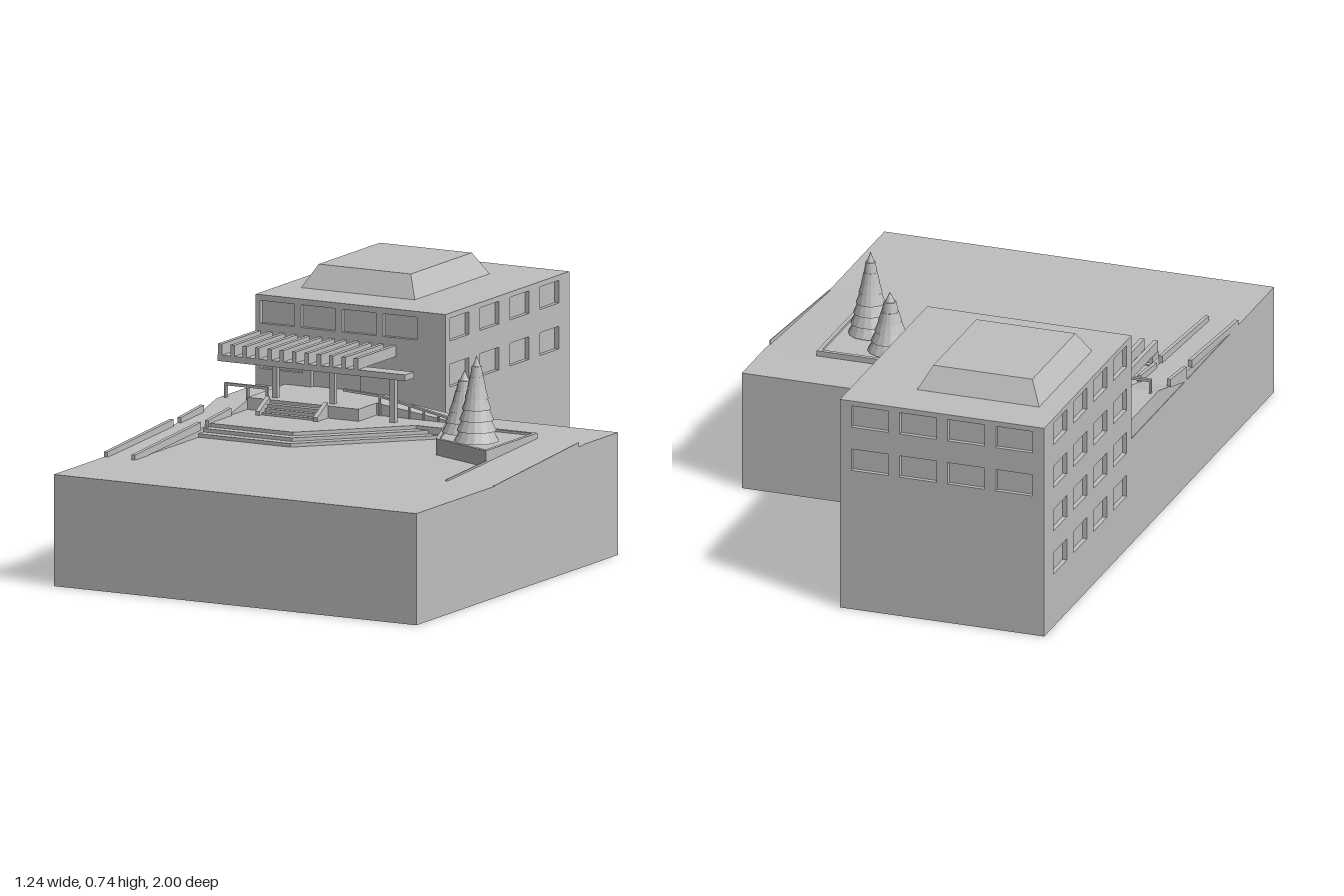
import * as THREE from 'three';

const concrete = new THREE.MeshStandardMaterial({ color: 0xbfbfbf });
concrete.name = 'light grey';

export function createModel() {
  const model = new THREE.Group();
  model.name = 'buildingWithForecourt';

  const add = (name, geo, parent = model) => {
    const m = new THREE.Mesh(geo, concrete);
    m.name = name;
    parent.add(m);
    return m;
  };
  const group = (name) => {
    const g = new THREE.Group();
    g.name = name;
    model.add(g);
    return g;
  };
  // Box from min and max corners
  const box = (name, x0, x1, y0, y1, z0, z1, parent) => {
    const g = new THREE.BoxGeometry(x1 - x0, y1 - y0, z1 - z0);
    g.translate((x0 + x1) / 2, (y0 + y1) / 2, (z0 + z1) / 2);
    return add(name, g, parent);
  };
  const shapeOf = (pts) => new THREE.Shape(pts.map(([a, b]) => new THREE.Vector2(a, b)));
  const extrude = (shape, depth) => new THREE.ExtrudeGeometry(shape, { depth, bevelEnabled: false });
  // Plan outline of [x, z] raised between two heights
  const slab = (name, pts, y0, y1, parent, hole) => {
    const s = shapeOf(pts);
    if (hole) s.holes.push(new THREE.Path(hole.map(([a, b]) => new THREE.Vector2(a, b))));
    const g = extrude(s, y1 - y0);
    g.rotateX(Math.PI / 2).translate(0, y1, 0);
    return add(name, g, parent);
  };
  // Side outline of [z, y] spanning x0 to x1
  const sideways = (name, pts, x0, x1, parent) => {
    const g = extrude(shapeOf(pts), x1 - x0);
    g.rotateY(-Math.PI / 2).translate(x1, 0, 0);
    return add(name, g, parent);
  };

  // Ground block
  box('ground', -0.62, 0.62, 0, 0.34, -0.24, 1);

  // Terrace with angled steps, each lower layer reaching further out
  const terrace = group('terrace');
  for (let i = 0; i < 3; i++) {
    const o = i * 0.03, top = 0.373 - i * 0.011;
    slab('terraceStep', [
      [-0.52, -0.24], [-0.52, 0.23 + o], [-0.23 + o * 0.41, 0.23 + o],
      [0.04 + o * 1.41, -0.04], [0.14, -0.04], [0.14, -0.24],
    ], 0.335, top, terrace);
  }
  box('rearTerrace', 0.14, 0.62, 0.335, 0.373, -0.24, -0.04, terrace);

  // Driveway ramp on the right with thin kerbs
  const drive = group('driveway');
  sideways('drivewayRamp', [[0.52, 0.339], [-0.04, 0.373], [-0.04, 0.335], [0.52, 0.335]], 0.455, 0.62, drive);
  sideways('drivewayKerb', [[0.52, 0.335], [0.52, 0.342], [0, 0.384], [0, 0.335]], 0.617, 0.62, drive);
  sideways('drivewayKerb', [[0.52, 0.335], [0.52, 0.345], [0.27, 0.36], [0.27, 0.335]], 0.453, 0.457, drive);

  // Long ramp on the left with low side rails
  const ramp = group('sideRamp');
  sideways('rampSurface', [[0.7, 0.339], [0.1, 0.375], [0, 0.4], [-0.24, 0.4], [-0.24, 0.335], [0.7, 0.335]],
    -0.618, -0.52, ramp);
  const rampY = (z) => 0.339 + (0.7 - z) * 0.06;
  for (const x of [-0.62, -0.526]) {
    for (const [za, zb] of [[0.69, 0.285], [0.24, 0.1]]) {
      sideways('rampRail', [
        [za, rampY(za) + 0.016], [zb, rampY(zb) + 0.022], [zb, rampY(zb) - 0.003], [za, 0.336],
      ], x, x + 0.012, ramp);
    }
  }

  // Building: inner core with facade panels that leave recessed windows
  const building = group('building');
  const d = 0.014;
  box('core', -0.62 + d, 0.03 - d, 0, 0.675, -1 + d, -0.24 - d, building);
  const facade = (name, u0, u1, openings) => {
    const s = shapeOf([[u0, 0], [u1, 0], [u1, 0.675], [u0, 0.675]]);
    for (const [a, b, v0, v1] of openings) {
      s.holes.push(new THREE.Path([[a, v0], [a, v1], [b, v1], [b, v0]].map(([p, q]) => new THREE.Vector2(p, q))));
    }
    const g = extrude(s, d);
    return add(name, g, building);
  };
  const grid = (start, pitch, rows) => {
    const out = [];
    for (const y of rows) {
      for (let i = 0; i < 4; i++) out.push([start + i * pitch, start + i * pitch + 0.117, y, y + 0.069]);
    }
    return out;
  };
  const frontHoles = grid(-0.605, 0.14, [0.588]);
  frontHoles.push([-0.605, -0.46, 0.45, 0.505], [-0.43, -0.262, 0.41, 0.498]);
  facade('frontWall', -0.62 + d, 0.03 - d, frontHoles).position.z = -0.24 - d;
  facade('backWall', -0.62 + d, 0.03 - d, grid(-0.583, 0.153, [0.59, 0.45])).position.z = -1;
  const right = facade('rightWall', -1, -0.24, grid(-0.935, 0.1835, [0.59, 0.45]));
  right.geometry.rotateY(-Math.PI / 2).translate(0.03, 0, 0);
  const left = facade('leftWall', -1, -0.24, grid(-0.92, 0.1835 - 0.01, [0.59, 0.45, 0.31, 0.17]));
  left.geometry.rotateY(-Math.PI / 2).translate(-0.62 + d, 0, 0);

  // Hipped roof block with a flat top
  const roof = new THREE.BoxGeometry(1, 0.07, 1);
  const rp = roof.attributes.position;
  for (let i = 0; i < rp.count; i++) {
    const up = rp.getY(i) > 0;
    rp.setX(i, -0.355 + rp.getX(i) * (up ? 0.315 : 0.39));
    rp.setZ(i, -0.622 + rp.getZ(i) * (up ? 0.375 : 0.46));
    rp.setY(i, up ? 0.743 : 0.674);
  }
  const flatRoof = roof.toNonIndexed();
  flatRoof.computeVertexNormals();
  add('roofBlock', flatRoof, building);

  // Porch deck, entrance steps and railings
  const porch = group('porch');
  box('deck', -0.52, -0.14, 0.37, 0.41, -0.24, -0.01, porch);
  for (let i = 0; i < 3; i++) {
    box('entranceStep', -0.44, -0.26, 0.37, 0.4 - i * 0.01, -0.01, 0.01 + i * 0.017, porch);
  }
  for (const x of [-0.457, -0.26]) {
    sideways('stepSide', [[-0.01, 0.37], [0.055, 0.37], [0.055, 0.385], [-0.01, 0.42]], x, x + 0.015, porch);
  }
  box('frontRail', -0.605, -0.457, 0.437, 0.445, -0.03, -0.02, porch);
  for (const x of [-0.605, -0.53, -0.464]) box('railPost', x, x + 0.007, 0.4, 0.437, -0.03, -0.02, porch);

  // Canopy beam, posts and slats
  const canopy = group('canopy');
  box('frontBeam', -0.62, 0.022, 0.512, 0.531, -0.06, -0.005, canopy);
  for (const x of [-0.455, -0.258, -0.052]) box('canopyPost', x, x + 0.017, 0.37, 0.512, -0.06, -0.043, canopy);
  for (let i = 0; i < 12; i++) {
    const x = -0.618 + i * 0.0422;
    box('slat', x, x + 0.014, 0.531, 0.565, -0.24, -0.005, canopy);
  }

  // Access ramp falling to the right of the porch, with handrails
  const access = group('accessRamp');
  const profile = (name, pts, z0, z1) => {
    const g = extrude(shapeOf(pts), z1 - z0);
    add(name, g.translate(0, 0, z0), access);
  };
  profile('accessSurface', [[-0.14, 0.37], [0.14, 0.37], [0.14, 0.375], [-0.14, 0.41]], -0.2, -0.12);
  profile('handrail', [[-0.25, 0.436], [-0.13, 0.43], [0.14, 0.38], [0.14, 0.386], [-0.13, 0.437], [-0.25, 0.443]],
    -0.125, -0.113);
  for (let i = 0; i < 5; i++) {
    const x = -0.13 + i * 0.05;
    box('handrailPost', x, x + 0.005, 0.37, 0.43 - i * 0.0093, -0.122, -0.116, access);
  }

  // Planter with a low rim
  const planter = group('planter');
  const outer = [[0.14, -0.04], [0.455, -0.04], [0.455, 0.275], [0.232, 0.182]];
  const inner = [[0.16, -0.027], [0.443, -0.027], [0.443, 0.257], [0.24, 0.173]];
  slab('planterRim', outer, 0.335, 0.39, planter, inner);
  slab('planterSoil', inner, 0.335, 0.383, planter);

  // Conifers with stacked skirts of branches
  const tree = (x, z, top, tiers) => {
    const base = 0.39, h = top - base, pts = [new THREE.Vector2(0, base)];
    for (let i = 0; i < tiers; i++) {
      const t = i / tiers, r = 0.064 * (1 - t) + 0.004;
      pts.push(new THREE.Vector2(r, base + h * t));
      pts.push(new THREE.Vector2(i === tiers - 1 ? 0 : r * 0.74, base + (h * (i + 1)) / tiers));
    }
    const g = new THREE.LatheGeometry(pts, 16).toNonIndexed();
    g.computeVertexNormals();
    const t = group('conifer');
    add('branches', g, t);
    add('trunk', new THREE.CylinderGeometry(0.012, 0.012, 0.02, 8).translate(0, 0.386, 0), t);
    t.position.set(x, 0, z);
  };
  tree(0.253, 0.045, 0.577, 6);
  tree(0.354, 0.152, 0.65, 8);

  return model;
}
